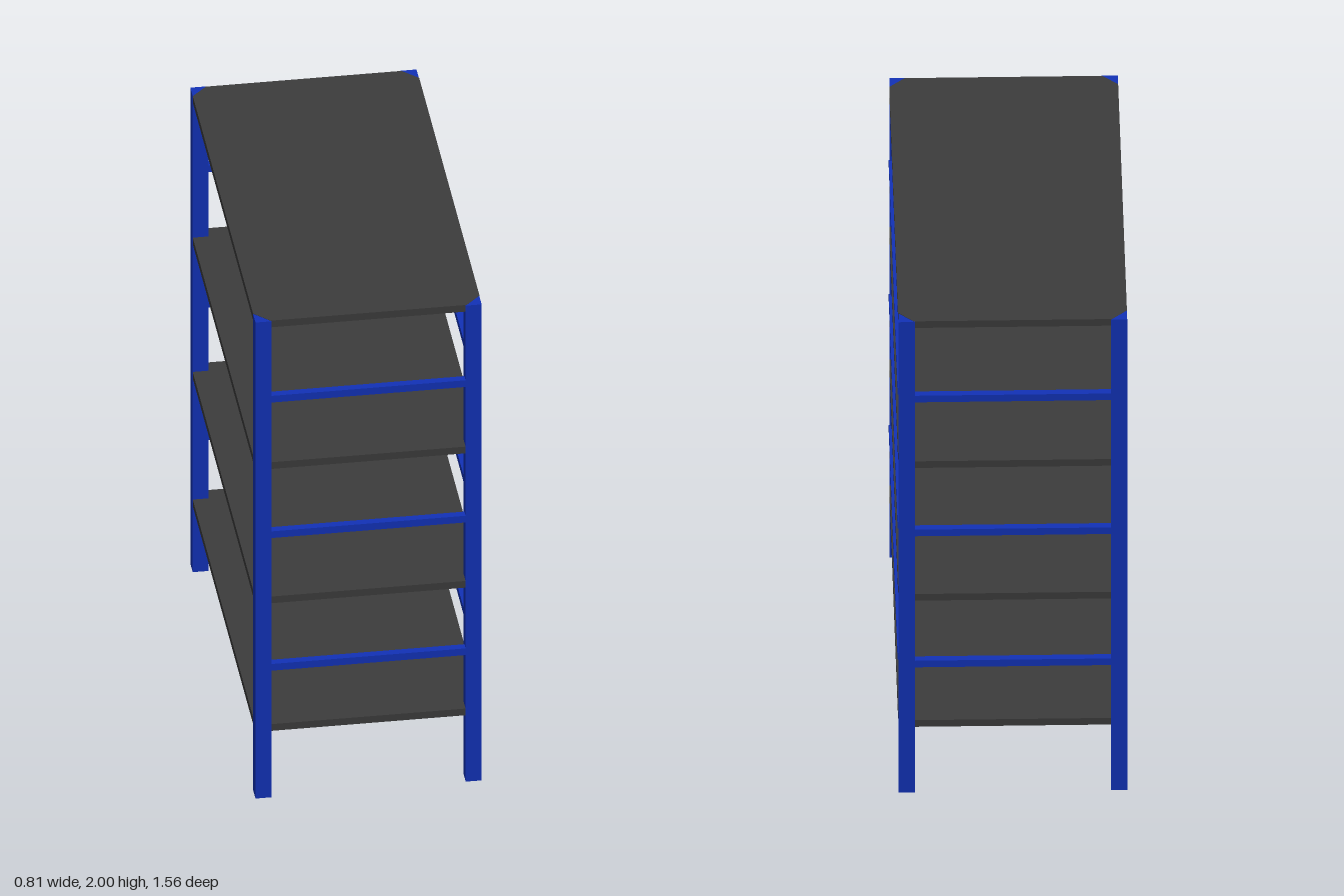
import * as THREE from 'three';

const W = 0.405, D = 0.78;      // half width and half depth of the rack
const POST = 0.057, RAIL = 0.028, BOARD = 0.028;

export function createModel() {
  const rack = new THREE.Group();
  rack.name = 'shelvingRack';
  const blue = new THREE.MeshStandardMaterial({ color: 0x1232b8 });
  const dark = new THREE.MeshStandardMaterial({ color: 0x3c3c3c });

  const add = (name, geometry, material, x, y, z) => {
    const mesh = new THREE.Mesh(geometry, material);
    mesh.name = name;
    mesh.position.set(x, y, z);
    rack.add(mesh);
  };

  // Four square corner posts
  const postGeometry = new THREE.BoxGeometry(POST, 1.999, POST);
  const postX = { left: 0.402 - POST / 2, right: -0.407 + POST / 2 };
  const postZ = D - POST / 2;
  for (const [side, x] of Object.entries(postX)) {
    add(`${side}FrontPost`, postGeometry, blue, x, 0.9995, postZ);
    add(`${side}BackPost`, postGeometry, blue, x, 0.9995, -postZ);
  }

  // Shelf boards with corners cut diagonally across the posts
  const x = W, z = D - 0.003, c = 0.055;
  const outline = new THREE.Shape([
    [x - c, -z], [x, c - z], [x, z - c], [x - c, z],
    [c - x, z], [-x, z - c], [-x, c - z], [c - x, -z],
  ].map(([px, pz]) => new THREE.Vector2(px, pz)));
  const shelfGeometry = new THREE.ExtrudeGeometry(outline, { depth: BOARD, bevelEnabled: false });
  shelfGeometry.rotateX(-Math.PI / 2);
  for (const top of [0.305, 0.841, 1.405, 2]) {
    add('shelf', shelfGeometry, dark, -0.002, top - BOARD, 0);
  }

  // Rails at three heights: both short ends and one long side, the other stays open
  const endRail = new THREE.BoxGeometry(2 * W - 2 * POST + 0.01, RAIL, RAIL);
  const sideRail = new THREE.BoxGeometry(RAIL, RAIL, 2 * (D - POST) + 0.01);
  for (const y of [0.545, 1.102, 1.671]) {
    add('frontRail', endRail, blue, -0.002, y, D - RAIL / 2 - 0.001);
    add('backRail', endRail, blue, -0.002, y, RAIL / 2 + 0.001 - D);
    add('sideRail', sideRail, blue, W - RAIL / 2, y, 0);
  }
  return rack;
}
